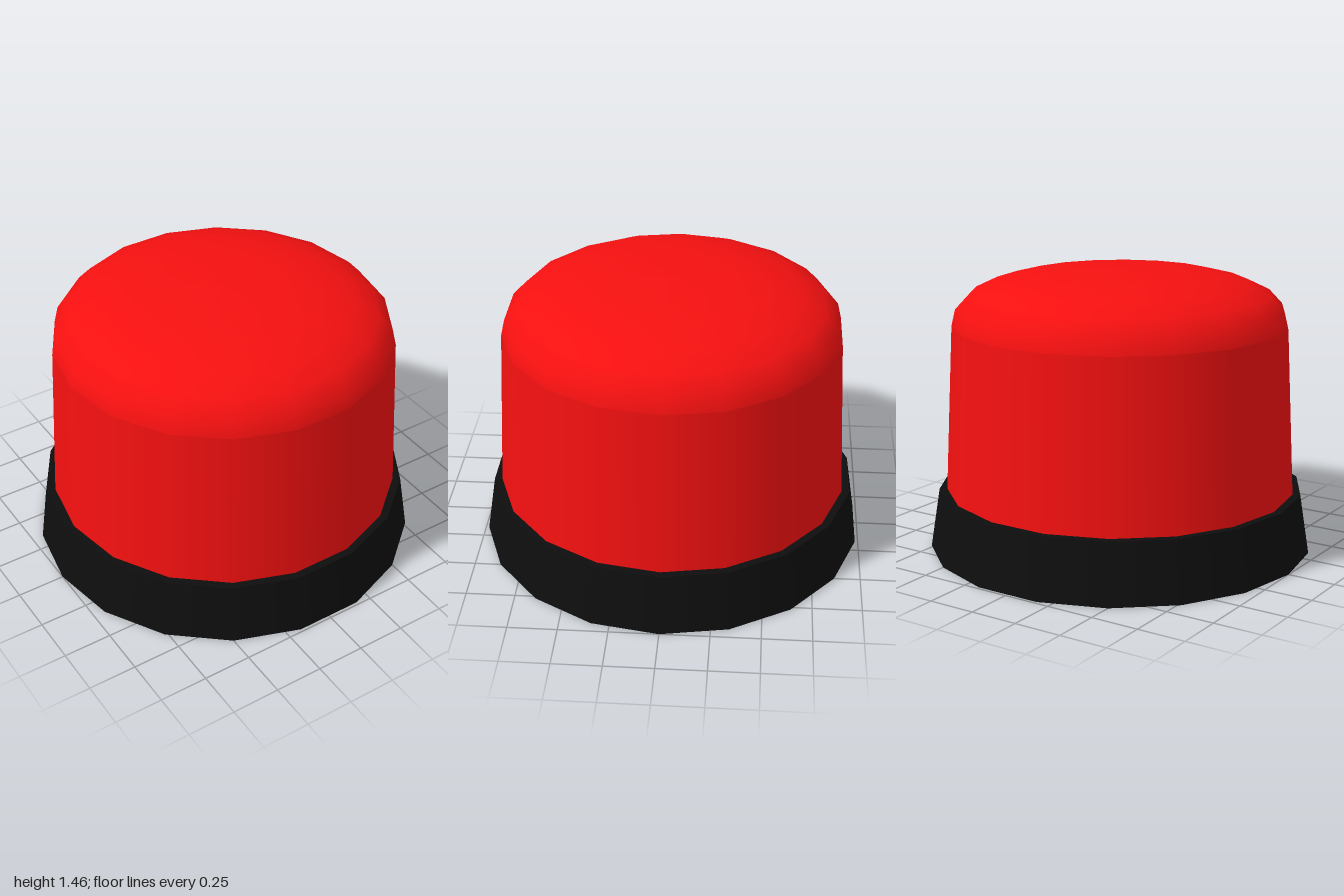
import * as THREE from 'three';

const SIDES = 18;

export function createModel() {
  const model = new THREE.Group();
  const black = new THREE.MeshStandardMaterial({ color: 0x0e0e0e });
  const red = new THREE.MeshStandardMaterial({ color: 0xf51010 });

  const add = (name, geometry, material, y = 0) => {
    const mesh = new THREE.Mesh(geometry, material);
    mesh.name = name;
    mesh.position.y = y;
    model.add(mesh);
  };

  // Tapered frustum with a corner on the x axis
  const frustum = (top, bottom, height, open) =>
    new THREE.CylinderGeometry(top, bottom, height, SIDES, 1, open, Math.PI / 2);

  // Base ring with closed top and underside
  add('base', frustum(0.95, 1, 0.31, false), black, 0.155);

  // Slightly tapered lens wall
  add('lensWall', frustum(0.865, 0.91, 0.86, true), red, 0.74);

  // Softly rounded cap, separate from the wall so the seam stays crisp
  const profile = [
    [0.865, 1.17], [0.845, 1.255], [0.775, 1.33], [0.66, 1.385],
    [0.5, 1.425], [0.3, 1.446], [0, 1.455],
  ].map(([r, y]) => new THREE.Vector2(r, y));
  add('lensCap', new THREE.LatheGeometry(profile, SIDES, Math.PI / 2), red);

  return model;
}
